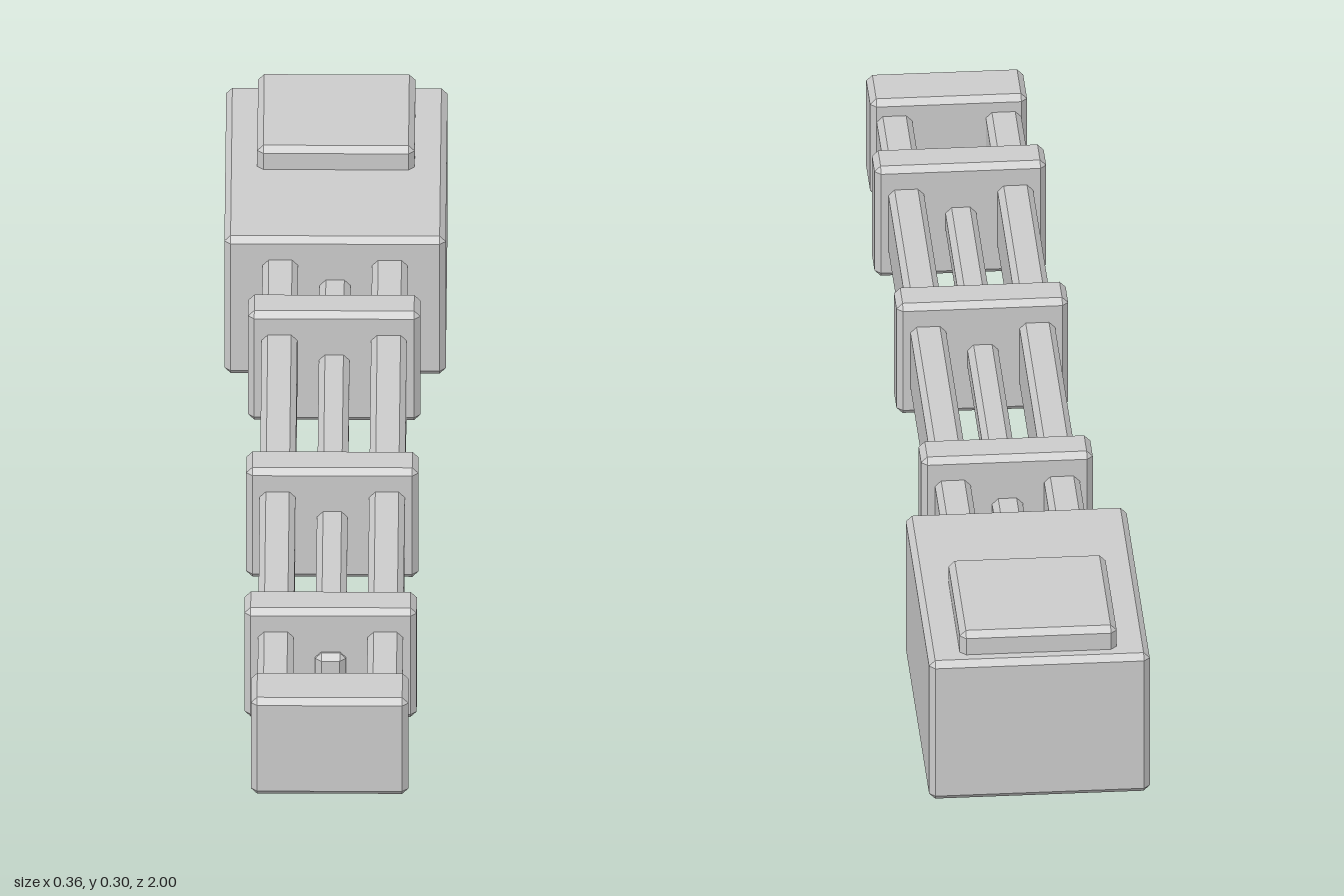
import * as THREE from 'three';
import { ConvexGeometry } from 'three/addons/geometries/ConvexGeometry.js';

const BEVEL = 0.01;

// Box with flat chamfers on every edge, given by its min/max extents
function chamferBox(x0, x1, y0, y1, z0, z1, b = BEVEL) {
  const half = [(x1 - x0) / 2, (y1 - y0) / 2, (z1 - z0) / 2];
  const points = [];
  for (const sx of [-1, 1]) for (const sy of [-1, 1]) for (const sz of [-1, 1]) {
    // each corner becomes three points, one on each adjoining face
    for (let face = 0; face < 3; face++) {
      const c = half.map((h, axis) => (axis === face ? h : h - b));
      points.push(new THREE.Vector3(c[0] * sx, c[1] * sy, c[2] * sz));
    }
  }
  const geometry = new ConvexGeometry(points);
  geometry.translate((x0 + x1) / 2, (y0 + y1) / 2, (z0 + z1) / 2);
  return geometry;
}

export function createModel() {
  const model = new THREE.Group();
  model.name = 'railAssembly';
  const material = new THREE.MeshStandardMaterial({ color: 0xcccccc, flatShading: true });

  const add = (name, ...extents) => {
    const mesh = new THREE.Mesh(chamferBox(...extents), material);
    mesh.name = name;
    model.add(mesh);
  };

  // Rear housing with a raised pad on its lid
  add('housing', -0.18, 0.18, 0, 0.257, -1, -0.495);
  add('topPad', -0.128, 0.128, 0.237, 0.297, -0.975, -0.722);

  // Twin rails, mirrored left and right
  add('leftRail', 0.06, 0.118, 0.095, 0.217, -0.55, 0.95);
  add('rightRail', -0.118, -0.06, 0.095, 0.217, -0.55, 0.95);

  // Slim rod between the rails, ending just past the front brace
  add('centreRod', -0.025, 0.025, 0.13, 0.18, -0.55, 0.74);

  // Braces clamping the rails together
  for (const z of [-0.285, 0.23, 0.69]) {
    add('brace', -0.14, 0.14, 0.053, 0.257, z - 0.036, z + 0.036);
  }

  // Front end block
  add('endBlock', -0.128, 0.128, 0.065, 0.245, 0.9, 1);

  return model;
}
